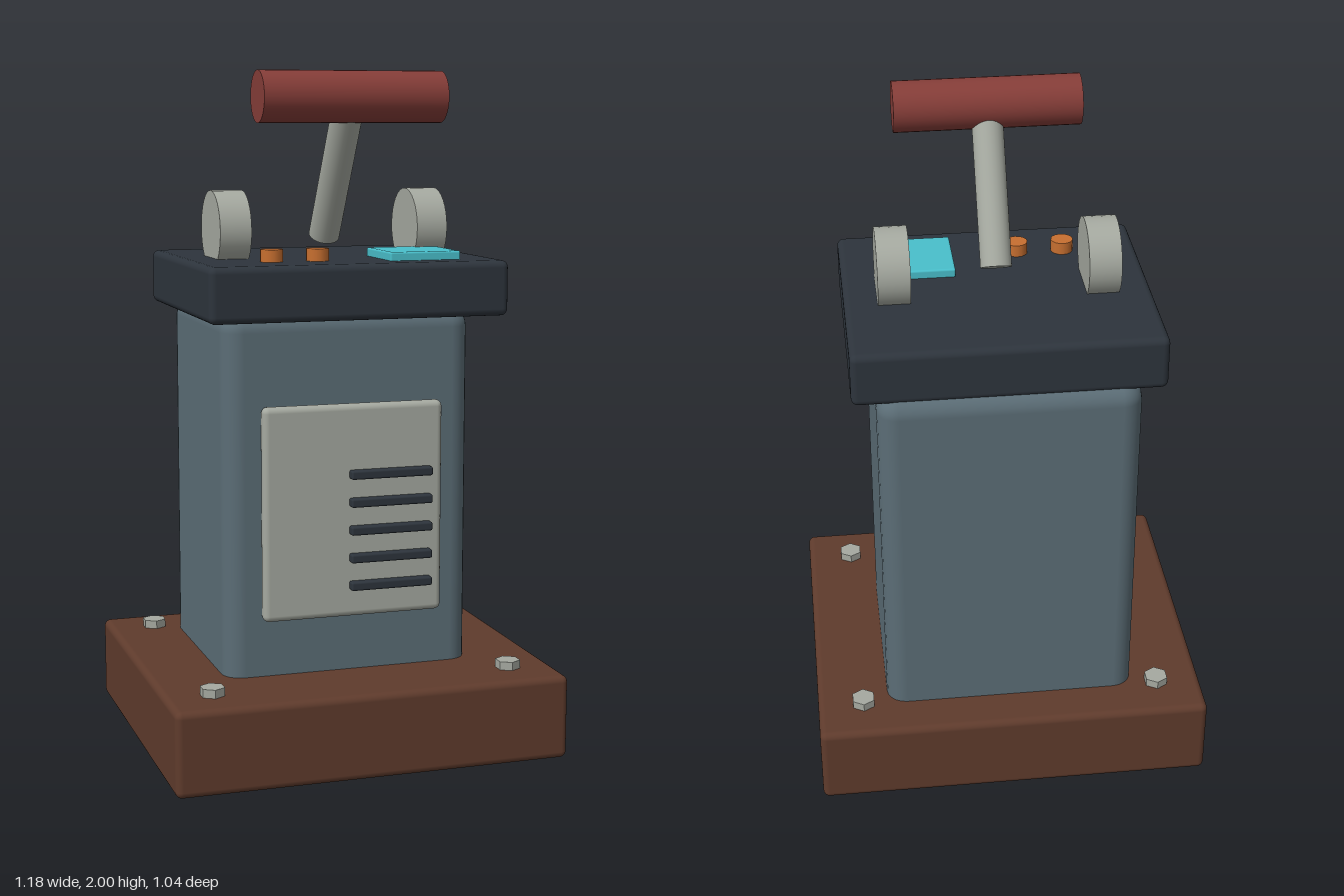
import * as THREE from 'three';
import { RoundedBoxGeometry } from 'three/addons/geometries/RoundedBoxGeometry.js';

const mat = (name, color) => new THREE.MeshStandardMaterial({ name, color });

export function createModel() {
  const model = new THREE.Group();
  model.name = 'leverConsole';

  const brown = mat('brown base', 0x5f3b2c);
  const slate = mat('slate grey body', 0x5b6d76);
  const dark = mat('dark top', 0x2d343c);
  const metal = mat('pale metal', 0xa5a9a0);
  const red = mat('red grip', 0x853d38);
  const orange = mat('orange button', 0xc76f30);
  const cyan = mat('cyan screen', 0x49bfcb);

  const add = (name, geometry, material, x, y, z) => {
    const mesh = new THREE.Mesh(geometry, material);
    mesh.name = name;
    mesh.position.set(x, y, z);
    model.add(mesh);
    return mesh;
  };
  // Rounded box given by its extents on each axis
  const box = (name, material, [x0, x1], [y0, y1], [z0, z1], radius) =>
    add(name, new RoundedBoxGeometry(x1 - x0, y1 - y0, z1 - z0, 3, radius), material,
      (x0 + x1) / 2, (y0 + y1) / 2, (z0 + z1) / 2);

  // Plinth, cabinet and overhanging top
  box('base', brown, [-0.59, 0.59], [0, 0.25], [-0.52, 0.52], 0.02);
  box('body', slate, [-0.377, 0.377], [0.18, 1.32], [-0.39, 0.253], 0.06);
  box('consoleTop', dark, [-0.446, 0.446], [1.3, 1.46], [-0.37, 0.37], 0.02);

  // Front panel with vent slots
  box('frontPanel', metal, [-0.273, 0.273], [0.42, 1.05], [0.253, 0.295], 0.018);
  for (let i = 0; i < 5; i++) {
    const y = 0.515 + i * 0.0825;
    box('ventSlot', dark, [-0.015, 0.235], [y - 0.013, y + 0.013], [0.28, 0.32], 0.006);
  }

  // Hexagonal bolts at the base corners
  const boltGeometry = new THREE.CylinderGeometry(0.037, 0.037, 0.035, 6).toNonIndexed();
  boltGeometry.computeVertexNormals();
  for (const x of [-0.452, 0.452])
    for (const z of [-0.383, 0.383]) add('bolt', boltGeometry, metal, x, 0.2575, z);

  // Pivot discs either side of the lever
  const discGeometry = new THREE.CylinderGeometry(0.115, 0.115, 0.094, 32);
  for (const x of [-0.302, 0.302])
    add('pivotDisc', discGeometry, metal, x, 1.542, 0).rotation.z = Math.PI / 2;

  // Leaning lever with a crosswise grip
  const foot = new THREE.Vector3(0, 1.52, 0);
  const head = new THREE.Vector3(0, 1.926, 0.247);
  const span = head.clone().sub(foot);
  const lever = add('leverArm', new THREE.CylinderGeometry(0.046, 0.046, span.length(), 24), metal,
    0, (foot.y + head.y) / 2, (foot.z + head.z) / 2);
  lever.rotation.x = Math.atan2(span.z, span.y);
  add('leverGrip', new THREE.CylinderGeometry(0.074, 0.074, 0.546, 32), red, head.x, head.y, head.z)
    .rotation.z = Math.PI / 2;

  // Controls on the top
  for (const x of [-0.222, -0.085])
    add('button', new THREE.CylinderGeometry(0.033, 0.033, 0.036, 16), orange, x, 1.478, 0.207);
  box('screen', cyan, [0.111, 0.327], [1.455, 1.485], [0.069, 0.285], 0.006);

  return model;
}
